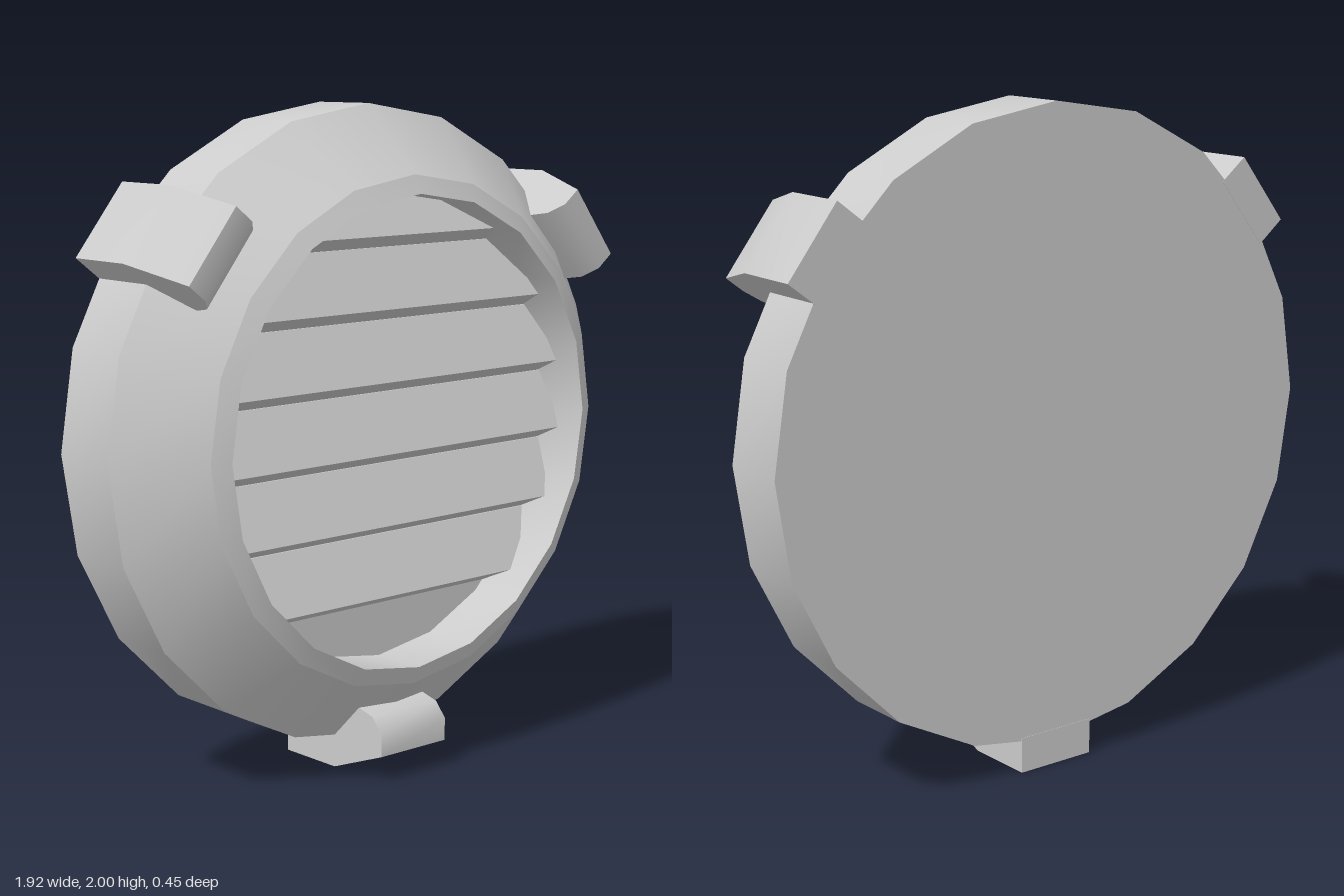
import * as THREE from 'three';
import { toCreasedNormals } from 'three/addons/utils/BufferGeometryUtils.js';

const CENTRE_Y = 1.04;
const material = new THREE.MeshStandardMaterial({ color: 0xcccccc });

function part(name, geometry, crease = 0.34) {
  const mesh = new THREE.Mesh(toCreasedNormals(geometry, crease), material);
  mesh.name = name;
  return mesh;
}

// Extrudes a [z, height] outline across x, centred on x = 0
function sideExtrude(outline, width) {
  const shape = new THREE.Shape(outline.map(([z, y]) => new THREE.Vector2(z, y)));
  const geometry = new THREE.ExtrudeGeometry(shape, { depth: width, bevelEnabled: false });
  geometry.translate(0, 0, -width / 2);
  return geometry.rotateY(-Math.PI / 2);
}

export function createModel() {
  const model = new THREE.Group();
  model.name = 'roundVent';

  // Twenty-sided housing with bevelled front and recessed floor: [radius, z]
  const profile = [
    [0, -0.22], [0.96, -0.22], [0.96, 0], [0.76, 0.2],
    [0.705, 0.225], [0.705, 0.045], [0, 0.045],
  ].map(([r, z]) => new THREE.Vector2(r, z));
  const housing = part('housing', new THREE.LatheGeometry(profile, 20).rotateX(Math.PI / 2));
  housing.position.y = CENTRE_Y;
  model.add(housing);

  // Louvre slats leaning forward at the bottom, their ends sunk into the rim
  const louvres = new THREE.Group();
  louvres.name = 'louvres';
  for (let i = 0; i < 6; i++) {
    const y = 0.54 + i * 0.216; // front lower edge
    const top = i === 5 ? 0.15 : 0.176;
    const far = Math.max(Math.abs(y - 0.04 - CENTRE_Y), Math.abs(y + top - CENTRE_Y));
    const near = Math.max(0, Math.min(Math.abs(y - 0.04 - CENTRE_Y), Math.abs(y + top - CENTRE_Y)));
    const reach = Math.sqrt(0.77 ** 2 - Math.min(near, far) ** 2);
    const slat = sideExtrude([[0.03, -0.04], [0.045, -0.04], [0.13, 0], [0.05, top], [0.03, top]], 2);
    // Trim each end to the circle of the rim
    const p = slat.attributes.position;
    for (let k = 0; k < p.count; k++) {
      const dy = y + p.getY(k) - CENTRE_Y;
      const half = Math.min(reach, Math.sqrt(0.76 ** 2 - dy * dy));
      p.setX(k, Math.sign(p.getX(k)) * half);
    }
    const mesh = part('slat', slat);
    mesh.position.y = y;
    louvres.add(mesh);
  }
  model.add(louvres);

  // Three retaining clips hooked over the bevel: [z, radius]
  const clipOutline = [
    [-0.221, 0.93], [-0.221, 1.04], [0, 1.04], [0.21, 0.96],
    [0.21, 0.89], [0.17, 0.845], [0.11, 0.83], [0, 0.92],
  ];
  for (const [name, degrees] of [['leftClip', 37.5], ['rightClip', 141.5], ['bottomClip', 269.5]]) {
    const clip = part(name, sideExtrude(clipOutline, 0.262), 0.8);
    clip.position.y = CENTRE_Y;
    clip.rotation.z = THREE.MathUtils.degToRad(degrees - 90);
    model.add(clip);
  }

  return model;
}
